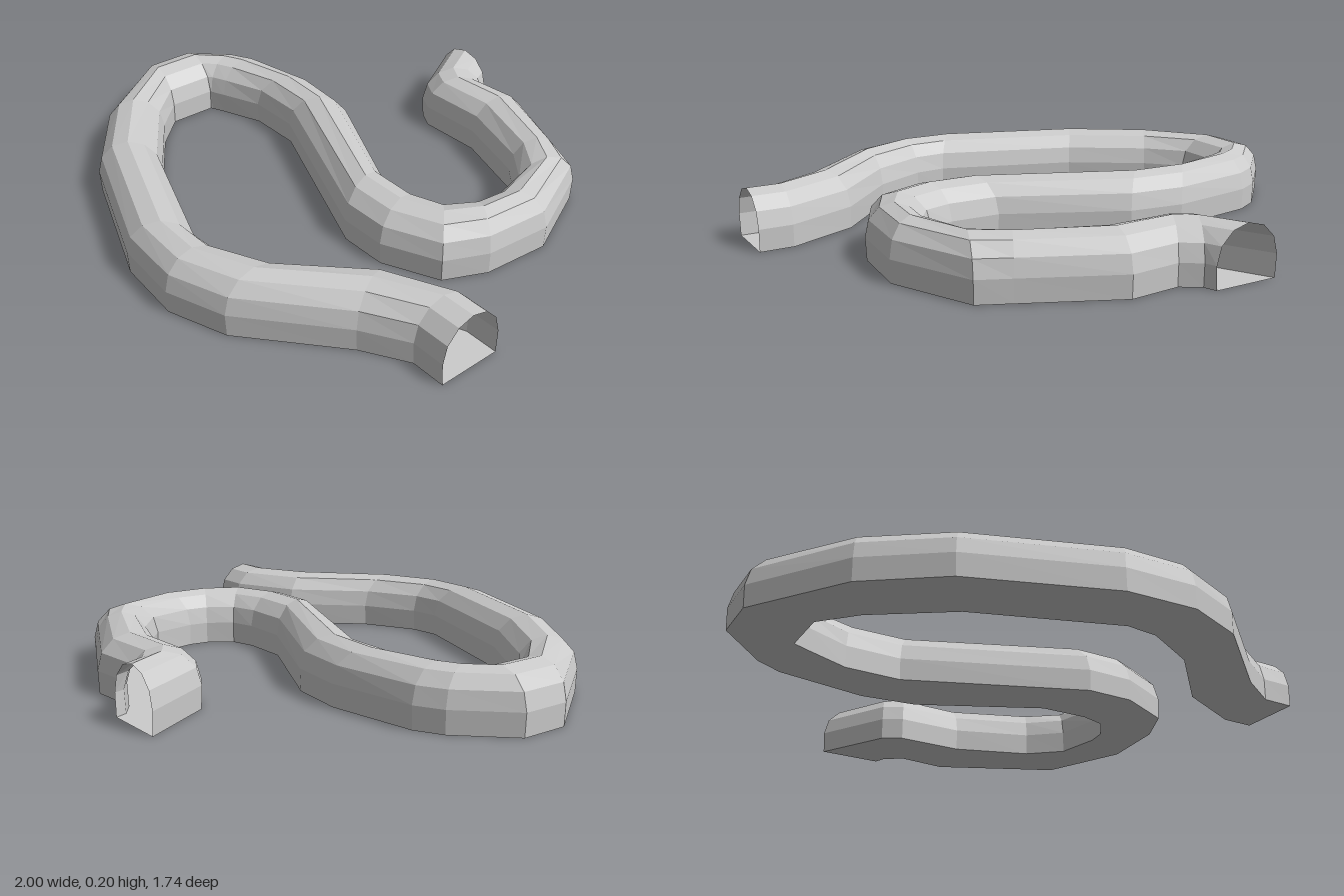
import * as THREE from 'three';

// Stations along the winding pipe: [right x, right z, left x, left z]
const STATIONS = [
  [1, 0.21, 1, 0.44],
  [0.88, 0.21, 0.88, 0.44],
  [0.63, 0.32, 0.73, 0.53],
  [0.41, 0.55, 0.425, 0.79],
  [0.215, 0.65, 0.215, 0.865],
  [0.1, 0.66, -0.04, 0.85],
  [-0.4, 0.485, -0.525, 0.675],
  [-0.66, 0.31, -0.775, 0.495],
  [-0.77, 0.195, -1, 0.175],
  [-0.77, 0.02, -1, 0],
  [-0.765, 0.018, -0.835, -0.17],
  [-0.71, -0.005, -0.74, -0.22],
  [-0.56, -0.065, -0.41, -0.27],
  [-0.355, -0.065, -0.205, -0.245],
  [0.28, 0.19, 0.22, -0.04],
  [0.455, 0.19, 0.4, -0.035],
  [0.655, 0.1, 0.49, -0.06],
  [0.725, -0.05, 0.55, -0.145],
  [0.745, -0.3, 0.56, -0.215],
  [0.61, -0.6, 0.53, -0.375],
  [0.5, -0.65, 0.415, -0.475],
  [0.18, -0.8, 0.14, -0.57],
  [0, -0.785, -0.105, -0.57],
  [-0.065, -0.83, -0.175, -0.61],
  [-0.08, -0.87, -0.32, -0.87],
];

// Cross-section: [position across (-1..1), height], an arch on a flat floor
const SECTION = [[-0.97, 0]];
for (let k = 0; k <= 6; k++) {
  const a = (k * Math.PI) / 6;
  SECTION.push([-Math.cos(a), 0.08 + 0.12 * Math.sin(a)]);
}
SECTION.push([0.97, 0]);

function pipeGeometry() {
  const positions = [];
  const indices = [];
  const n = SECTION.length;
  for (const [ax, az, bx, bz] of STATIONS) {
    for (const [t, y] of SECTION) {
      const s = (t + 1) / 2;
      positions.push(ax + (bx - ax) * s, y, az + (bz - az) * s);
    }
  }
  // Join neighbouring sections; the wrap-around strip is the floor
  for (let i = 0; i < STATIONS.length - 1; i++) {
    for (let j = 0; j < n; j++) {
      const k = (j + 1) % n;
      const p = i * n + j, q = i * n + k;
      indices.push(p, p + n, q, q, p + n, q + n);
    }
  }
  const geometry = new THREE.BufferGeometry();
  geometry.setAttribute('position', new THREE.Float32BufferAttribute(positions, 3));
  geometry.setIndex(indices);
  geometry.computeVertexNormals();
  return geometry;
}

export function createModel() {
  const group = new THREE.Group();
  group.name = 'windingPipe';
  // Hollow pipe, open at both ends
  const material = new THREE.MeshStandardMaterial({
    color: 0xcccccc, flatShading: true, side: THREE.DoubleSide,
  });
  const pipe = new THREE.Mesh(pipeGeometry(), material);
  pipe.name = 'pipe';
  group.add(pipe);
  return group;
}
